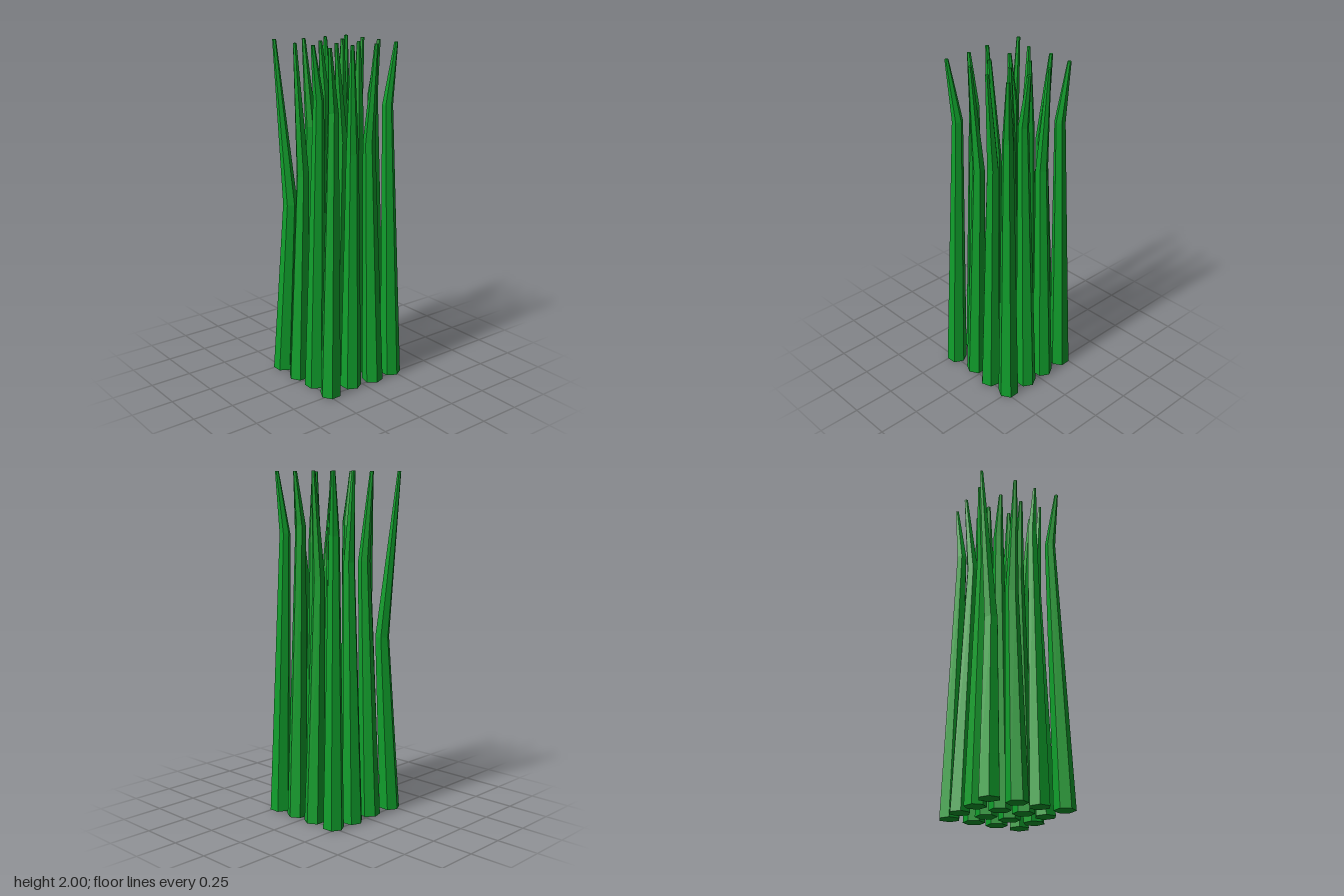
import * as THREE from 'three';

const BASE_R = 0.062, TIP_R = 0.011, HEIGHT = 2;

// Per stalk: root x, z, bend x, y, z, tip x, z, twist in degrees
const STALKS = [
  // back row
  [-0.217, -0.24, -0.192, 1.65, -0.208, -0.217, -0.24, 32],
  [-0.065, -0.24, -0.065, 1.4, -0.2, -0.065, -0.24, 0],
  [0.079, -0.24, 0.079, 1.7, -0.2, 0.079, -0.24, 0],
  [0.227, -0.24, 0.2, 1.65, -0.208, 0.227, -0.24, 31],
  // second row
  [-0.227, -0.094, -0.182, 1.5, -0.078, -0.227, -0.094, 38],
  [-0.066, -0.094, -0.066, 1.6, -0.094, -0.066, -0.094, 0],
  [0.079, -0.094, 0.079, 1.6, -0.094, 0.079, -0.094, 0],
  [0.235, -0.091, 0.193, 1.45, -0.081, 0.235, -0.091, 18],
  // third row
  [-0.217, 0.067, -0.179, 1.5, 0.049, -0.217, 0.067, 14],
  [-0.066, 0.062, -0.066, 1.7, 0.035, -0.066, 0.062, 0],
  [0.079, 0.062, 0.079, 1.45, 0.023, 0.079, 0.062, 0],
  [0.218, 0.062, 0.192, 1.4, 0.037, 0.218, 0.062, 32],
  // front row
  [-0.226, 0.237, -0.197, 1.05, 0.19, -0.286, 0.222, 30],
  [-0.063, 0.238, -0.063, 1.25, 0.193, -0.063, 0.238, 0],
  [0.083, 0.224, 0.083, 1.7, 0.188, 0.083, 0.224, 30],
  [0.237, 0.228, 0.21, 1.65, 0.185, 0.237, 0.228, 2],
];

// Six-sided tapering stalk: root ring, bend ring and tip ring, capped at both ends
function stalkGeometry([rx, rz, bx, by, bz, tx, tz, twist]) {
  const geo = new THREE.CylinderGeometry(1, 1, 2, 6, 2, false, THREE.MathUtils.degToRad(twist));
  const bendR = BASE_R - 0.0185 * by;
  const rings = [
    { x: rx, y: 0, z: rz, r: BASE_R },
    { x: bx, y: by, z: bz, r: bendR },
    { x: tx, y: HEIGHT, z: tz, r: TIP_R },
  ];
  const p = geo.attributes.position;
  for (let i = 0; i < p.count; i++) {
    const ring = rings[Math.round(p.getY(i)) + 1];
    p.setXYZ(i, ring.x + p.getX(i) * ring.r, ring.y, ring.z + p.getZ(i) * ring.r);
  }
  geo.computeVertexNormals();
  return geo;
}

export function createModel() {
  const group = new THREE.Group();
  group.name = 'grassClump';
  const green = new THREE.MeshStandardMaterial({ color: 0x10a02c, flatShading: true });
  STALKS.forEach((stalk, i) => {
    const mesh = new THREE.Mesh(stalkGeometry(stalk), green);
    mesh.name = `stalk${i + 1}`;
    group.add(mesh);
  });
  return group;
}
